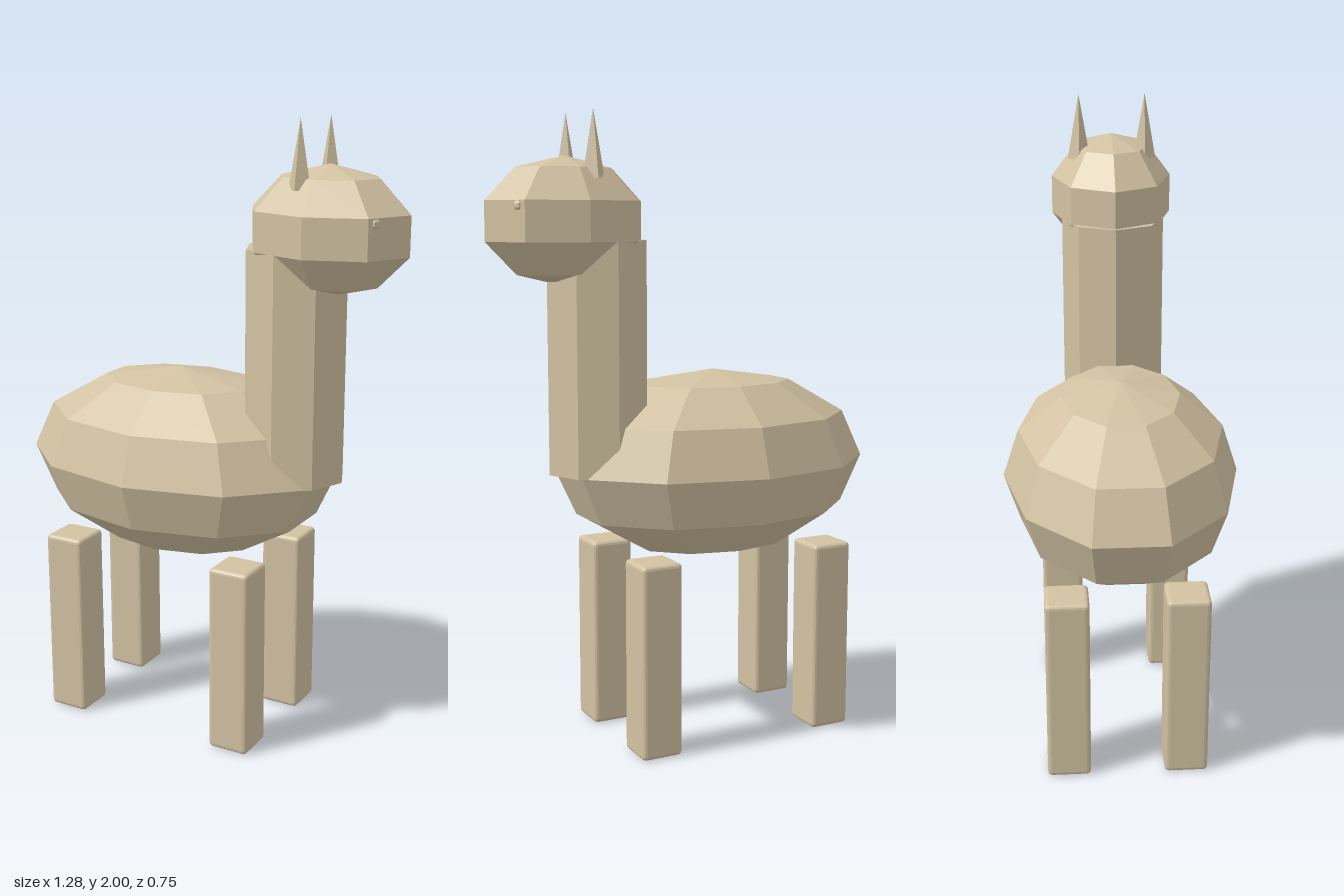
import * as THREE from 'three';
import { RoundedBoxGeometry } from 'three/addons/geometries/RoundedBoxGeometry.js';

export function createModel() {
  const model = new THREE.Group();
  model.name = 'woollyAnimal';
  const wool = new THREE.MeshStandardMaterial({ color: 0xd2c2a2 });
  wool.name = 'tan wool';

  // Adds a mesh with faceted normals
  const add = (name, geometry, x, y, z) => {
    const faceted = geometry.index ? geometry.toNonIndexed() : geometry;
    faceted.computeVertexNormals();
    const mesh = new THREE.Mesh(faceted, wool);
    mesh.name = name;
    mesh.position.set(x, y, z);
    model.add(mesh);
  };

  // Body: a ten-sided faceted ellipsoid with flat ends
  add('body', new THREE.SphereGeometry(1, 10, 6).rotateY(Math.PI / 2).scale(0.54, 0.307, 0.373), -0.13, 0.885, 0);

  // Neck and head
  add('neck', new THREE.CylinderGeometry(0.165, 0.165, 0.725, 8), 0.28, 1.2475, 0);
  add('head', new THREE.SphereGeometry(1, 8, 5).scale(0.271, 0.198, 0.205), 0.383, 1.667, 0);

  for (const [side, s] of [['left', -1], ['right', 1]]) {
    // Pointed ears and small eyes, almost sunk into the head
    add(side + 'Ear', new THREE.ConeGeometry(0.036, 0.205, 4), 0.333, 1.8975, s * 0.106);
    add(side + 'Eye', new THREE.SphereGeometry(0.02, 6, 5), 0.568, 1.712, s * 0.108);

    // Square legs with softened edges
    for (const [end, x] of [['front', 0.177], ['back', -0.445]]) {
      add(end + side + 'Leg', new RoundedBoxGeometry(0.137, 0.622, 0.137, 2, 0.014), x, 0.311, s * 0.186);
    }
  }
  return model;
}
